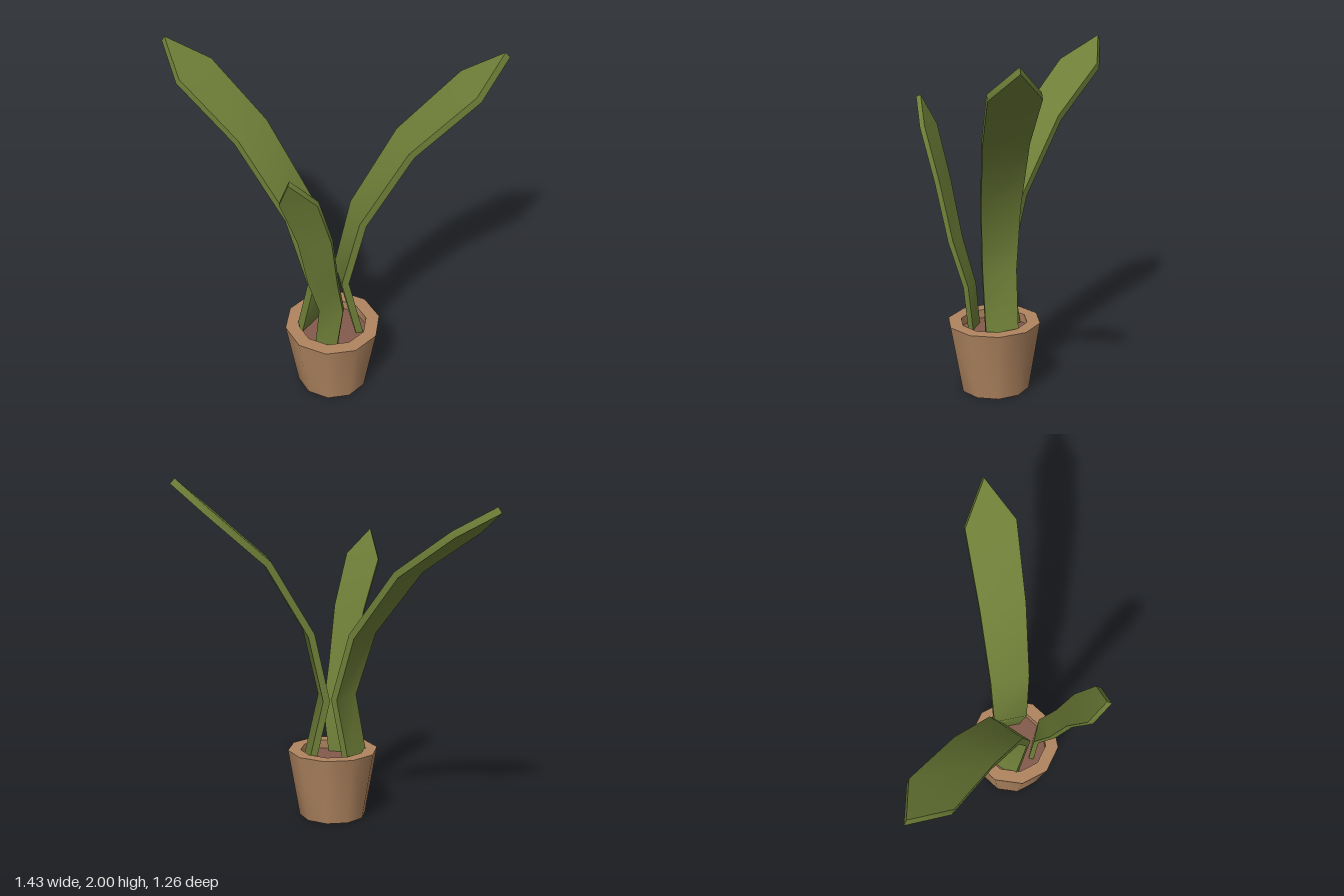
import * as THREE from 'three';
import { toCreasedNormals } from 'three/addons/utils/BufferGeometryUtils.js';

const SIDES = 10;

// Thick pointed blade: rows run from base to tip as [x, y, z, halfWidth] along its upper face.
function bladeGeometry(rows, across, thickness) {
  const side = new THREE.Vector3(...across).normalize();
  const pts = rows.map(([x, y, z]) => new THREE.Vector3(x, y, z));
  const positions = [], index = [];
  rows.forEach((row, i) => {
    const prev = pts[Math.max(i - 1, 0)], next = pts[Math.min(i + 1, pts.length - 1)];
    const tangent = next.clone().sub(prev).normalize();
    const under = side.clone().cross(tangent).normalize().multiplyScalar(-thickness);
    for (const [s, t] of [[-1, 0], [1, 0], [1, 1], [-1, 1]]) {
      const p = pts[i].clone().addScaledVector(side, s * row[3]).addScaledVector(under, t);
      positions.push(p.x, p.y, p.z);
    }
    if (i === 0) return;
    for (let j = 0; j < 4; j++) {
      const k = (j + 1) % 4, low = (i - 1) * 4, high = i * 4;
      index.push(low + j, low + k, high + k, low + j, high + k, high + j);
    }
  });
  index.push(0, 2, 1, 0, 3, 2);
  const geo = new THREE.BufferGeometry();
  geo.setAttribute('position', new THREE.Float32BufferAttribute(positions, 3));
  geo.setIndex(index);
  geo.computeVertexNormals();
  return toCreasedNormals(geo, 0.6);
}

// Rows of a blade leaning straight out from a point: profile is [distance, y, halfWidth].
const leaning = ([x, z], [ux, uz], profile) =>
  profile.map(([d, y, w]) => [x + ux * d, y, z + uz * d, w]);

export function createModel() {
  const group = new THREE.Group();
  const material = (name, color) => {
    const m = new THREE.MeshStandardMaterial({ color });
    m.name = name;
    return m;
  };
  const clay = material('clay', 0xb08560);
  const earth = material('earth', 0x835a4b);
  const green = material('leaf green', 0x6f7f38);

  const add = (name, geo, mat, x = 0, y = 0, z = 0) => {
    const mesh = new THREE.Mesh(geo, mat);
    mesh.name = name;
    mesh.position.set(x, y, z);
    group.add(mesh);
  };

  // Tapered pot with a wide rim and a shallow well
  const potProfile = [[0, 0], [0.197, 0], [0.265, 0.4], [0.19, 0.4], [0.19, 0.32]]
    .map(([r, y]) => new THREE.Vector2(r, y));
  add('pot', toCreasedNormals(new THREE.LatheGeometry(potProfile, SIDES), 0.7), clay, -0.17, 0, 0.315);

  // Soil inside the rim
  add('soil', new THREE.CylinderGeometry(0.19, 0.19, 0.03, SIDES), earth, -0.17, 0.335, 0.315);

  // Tall leaf leaning to the model's left
  add('leftLeaf', bladeGeometry(leaning([-0.128, 0.3], [0.96, 0.28], [
    [0.088, 0.33, 0.09], [0, 0.72, 0.095], [0.09, 1.12, 0.108],
    [0.335, 1.54, 0.123], [0.67, 1.84, 0.135], [0.85, 2.0, 0],
  ]), [-0.28, 0, 0.96], 0.04), green);

  // Tall leaf leaning to the back
  add('backLeaf', bladeGeometry(leaning([-0.213, 0.293], [-0.455, -0.89], [
    [0.088, 0.33, 0.09], [0, 0.72, 0.095], [0.135, 1.12, 0.108],
    [0.448, 1.51, 0.123], [0.815, 1.76, 0.133], [1.015, 1.89, 0],
  ]), [0.89, 0, -0.455], 0.04), green);

  // Shorter, more upright leaf at the front
  add('frontLeaf', bladeGeometry([
    [-0.245, 0.33, 0.39, 0.062], [-0.23, 0.61, 0.42, 0.067], [-0.305, 0.865, 0.47, 0.08],
    [-0.372, 1.195, 0.51, 0.09], [-0.478, 1.495, 0.545, 0.098], [-0.545, 1.655, 0.575, 0],
  ], [-0.735, -0.14, -0.66], 0.029), green);

  return group;
}
